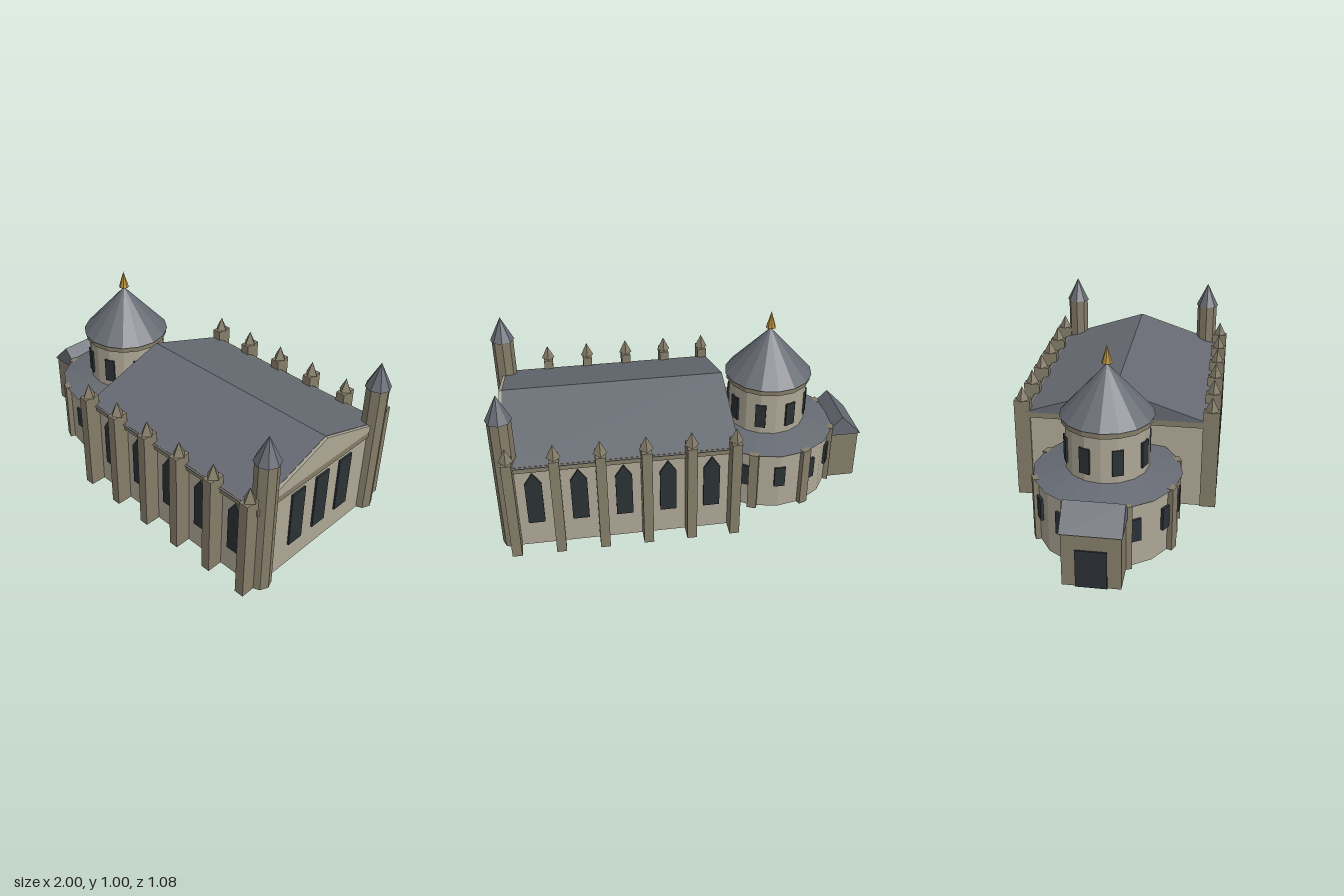
import * as THREE from 'three';

const mat = (color) => new THREE.MeshStandardMaterial({ color, flatShading: true });

export function createModel() {
  const model = new THREE.Group();
  const wall = mat(0xaea796), trim = mat(0x857d69), slate = mat(0x666a72);
  const glass = mat(0x2b3135), gold = mat(0xb08a35);

  const add = (name, geometry, material, x, y, z, parent = model) => {
    const mesh = new THREE.Mesh(geometry, material);
    mesh.name = name;
    mesh.position.set(x, y, z);
    parent.add(mesh);
    return mesh;
  };
  // Box given by its ground height and size
  const box = (name, material, x, y0, z, w, h, d, parent) =>
    add(name, new THREE.BoxGeometry(w, h, d), material, x, y0 + h / 2, z, parent);
  // Upright cylinder, frustum or cone
  const round = (name, material, x, y0, z, rBottom, rTop, h, sides, parent) =>
    add(name, new THREE.CylinderGeometry(rTop, rBottom, h, sides), material, x, y0 + h / 2, z, parent);
  // Triangular prism running along z, starting at z = 0
  const prism = (halfWidth, h, length) => new THREE.ExtrudeGeometry(
    new THREE.Shape([[-halfWidth, 0], [halfWidth, 0], [0, h]].map((p) => new THREE.Vector2(...p))),
    { depth: length, bevelEnabled: false });

  // Nave
  box('naveWalls', wall, 0.36, 0, 0, 1.16, 0.47, 0.91);
  box('naveCornice', trim, 0.36, 0.467, 0, 1.175, 0.037, 0.95);
  add('naveRoof', prism(0.485, 0.162, 1.165), slate, -0.23, 0.499, 0).rotation.y = Math.PI / 2;
  add('gable', prism(0.465, 0.154, 0.015), wall, 0.935, 0.504, 0).rotation.y = Math.PI / 2;

  // Buttresses with pointed caps and lancet windows between them
  const lancet = new THREE.ExtrudeGeometry(
    new THREE.Shape([[-0.042, 0.145], [0.042, 0.145], [0.042, 0.385], [0, 0.45], [-0.042, 0.385]]
      .map((p) => new THREE.Vector2(...p))),
    { depth: 0.02, bevelEnabled: false });
  for (const side of [-1, 1]) {
    for (let i = 0; i < 6; i++) {
      const x = -0.205 + i * 0.224;
      box('buttress', trim, x, 0, side * 0.497, 0.05, 0.56, 0.085);
      round('buttressCap', trim, x, 0.56, side * 0.497, 0.036, 0, 0.075, 4);
      if (i < 5) add('lancetWindow', lancet, glass, x + 0.112, 0, side * 0.455 - 0.01);
    }
    // Corner turrets
    round('turret', trim, 0.93, 0, side * 0.41, 0.059, 0.059, 0.745, 8);
    round('turretRoof', slate, 0.93, 0.745, side * 0.41, 0.066, 0, 0.135, 8);
  }
  for (const z of [-0.18, 0, 0.18]) box('endWindow', glass, 0.94, 0.125, z, 0.02, 0.317, 0.095);

  // Rotunda, built around its own axis
  const rotunda = new THREE.Group();
  rotunda.name = 'rotunda';
  rotunda.position.x = -0.485;
  model.add(rotunda);
  round('lowerDrum', wall, 0, 0, 0, 0.357, 0.357, 0.345, 16, rotunda);
  round('lowerRoof', slate, 0, 0.342, 0, 0.375, 0.2, 0.04, 16, rotunda);
  round('upperDrum', wall, 0, 0.37, 0, 0.21, 0.21, 0.26, 16, rotunda);
  round('upperCornice', trim, 0, 0.625, 0, 0.227, 0.227, 0.03, 16, rotunda);
  round('domeRoof', slate, 0, 0.655, 0, 0.234, 0, 0.257, 16, rotunda);
  round('finial', gold, 0, 0.914, 0, 0.027, 0, 0.091, 8, rotunda);

  // Boxes spaced evenly round the rotunda, facing outward
  const ring = (name, material, count, offset, radius, y0, w, h, d, keep = () => true) => {
    for (let i = 0; i < count; i++) {
      const a = ((i + offset) / count) * Math.PI * 2;
      if (!keep(a)) continue;
      box(name, material, Math.sin(a) * radius, y0, Math.cos(a) * radius, w, h, d, rotunda).rotation.y = a;
    }
  };
  const clear = (a) => Math.sin(a) < 0.6 && Math.sin(a) > -0.95;
  ring('lowerWindow', glass, 12, 0, 0.35, 0.14, 0.058, 0.12, 0.028, clear);
  ring('pilaster', trim, 8, 0.5, 0.36, 0, 0.05, 0.347, 0.04, clear);
  ring('upperWindow', glass, 8, 0.5, 0.203, 0.42, 0.056, 0.135, 0.024);

  // Entrance porch with its ridge running across
  box('porch', trim, -0.885, 0, 0, 0.205, 0.285, 0.28);
  add('porchRoof', prism(0.112, 0.115, 0.294), slate, -0.887, 0.284, -0.147);
  box('door', glass, -0.985, 0, 0, 0.02, 0.2, 0.15);

  return model;
}
